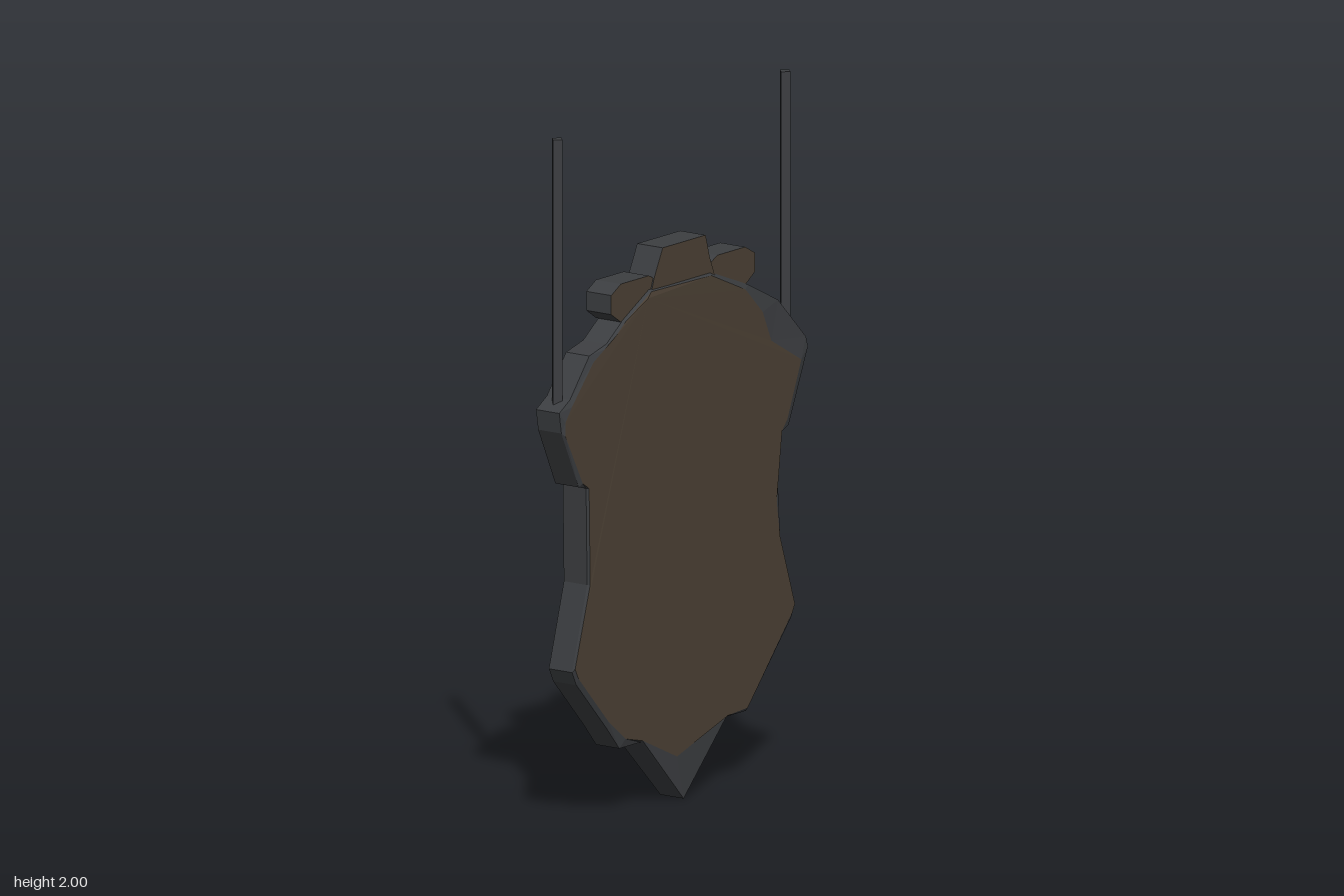
import * as THREE from 'three';

const wood = new THREE.MeshStandardMaterial({ color: 0x4b4034, flatShading: true });
const iron = new THREE.MeshStandardMaterial({ color: 0x3c3e41, flatShading: true });

// Shield outline, counter-clockwise from the bottom tip: [x, y, front panel x, front panel y]
const OUTLINE = [
  [0, 0, -0.04, 0.13], [0.2, 0.2, 0.2, 0.205], [0.29, 0.2, 0.29, 0.21],
  [0.5, 0.43, 0.5, 0.45], [0.515, 0.47, 0.51, 0.47], [0.45, 0.67, 0.44, 0.68],
  [0.44, 0.82, 0.425, 0.78], [0.455, 0.98, 0.45, 0.98], [0.49, 0.99, 0.475, 1.01],
  [0.58, 1.2, 0.54, 1.17], [0.57, 1.23, 0.4, 1.25], [0.44, 1.36, 0.36, 1.34],
  [0.3, 1.43, 0.28, 1.42], [0.12, 1.5, 0.12, 1.49], [-0.16, 1.5, -0.16, 1.495],
  [-0.29, 1.43, -0.28, 1.43], [-0.36, 1.38, -0.36, 1.37], [-0.44, 1.36, -0.43, 1.34],
  [-0.53, 1.25, -0.53, 1.23], [-0.58, 1.22, -0.56, 1.19], [-0.57, 1.16, -0.56, 1.15],
  [-0.49, 0.99, -0.48, 1.0], [-0.455, 0.98, -0.45, 0.98], [-0.45, 0.7, -0.445, 0.7],
  [-0.52, 0.46, -0.515, 0.47], [-0.5, 0.42, -0.5, 0.44], [-0.36, 0.27, -0.36, 0.29],
  [-0.3, 0.2, -0.28, 0.225], [-0.2, 0.2, -0.2, 0.205],
];

function meshFromTriangles(name, triangles, material) {
  const geometry = new THREE.BufferGeometry().setFromPoints(triangles);
  geometry.computeVertexNormals();
  const mesh = new THREE.Mesh(geometry, material);
  mesh.name = name;
  return mesh;
}

// Triangles from a centre point to every edge of a ring
function fan(center, ring) {
  return ring.flatMap((p, i) => [center, p, ring[(i + 1) % ring.length]]);
}

// Quads joining two rings, the first lying nearer the front
function band(front, back) {
  return front.flatMap((p, i) => {
    const j = (i + 1) % front.length;
    return [p, back[i], back[j], p, back[j], front[j]];
  });
}

// Thick cut-out with wooden faces and dark edges
function slab(name, points, back, front) {
  const shape = new THREE.Shape(points.map(([x, y]) => new THREE.Vector2(x, y)));
  const geometry = new THREE.ExtrudeGeometry(shape, { depth: front - back, bevelEnabled: false });
  geometry.translate(0, 0, back);
  const mesh = new THREE.Mesh(geometry, [wood, iron]);
  mesh.name = name;
  return mesh;
}

export function createModel() {
  const model = new THREE.Group();
  model.name = 'hangingSign';

  // Board: wooden front and back faces with a chipped, bevelled rim between
  const frontPanel = OUTLINE.map(([, , x, y]) => new THREE.Vector3(x, y, 0.047));
  const frontRim = OUTLINE.map(([x, y]) => new THREE.Vector3(x, y, 0.04));
  const backRim = OUTLINE.map(([x, y]) => new THREE.Vector3(x, y, -0.042));
  const backPanel = OUTLINE.map(([x, y]) =>
    new THREE.Vector3(x * 0.98, 0.75 + (y - 0.75) * 0.99, -0.047));
  model.add(
    meshFromTriangles('frontFace', fan(new THREE.Vector3(-0.18, 1.48, 0.051), frontPanel), wood),
    meshFromTriangles('backFace', fan(new THREE.Vector3(0.15, 0.92, -0.054), [...backPanel].reverse()), wood),
    meshFromTriangles('rim', [
      ...band(frontPanel, frontRim), ...band(frontRim, backRim), ...band(backRim, backPanel),
    ], iron),
  );

  // Crest: a raised block between two curled ends
  model.add(slab('crestBlock',
    [[-0.16, 1.47], [0.15, 1.47], [0.12, 1.54], [0.1, 1.61], [-0.1, 1.61], [-0.14, 1.53]], -0.048, 0.042));
  const curl = [[0.1, 1.46], [0.29, 1.43], [0.335, 1.46], [0.335, 1.515], [0.29, 1.54], [0.16, 1.54], [0.12, 1.52]];
  for (const side of [1, -1]) {
    model.add(slab(side > 0 ? 'leftCurl' : 'rightCurl',
      curl.map(([x, y]) => [x * side, y]), -0.05, 0.038));
  }

  // Square hanging rods, set corner-on
  for (const [name, x] of [['leftRod', 0.527], ['rightRod', -0.537]]) {
    const rod = new THREE.Mesh(new THREE.CylinderGeometry(0.019, 0.019, 0.8, 4), iron);
    rod.position.set(x, 1.6, 0);
    rod.name = name;
    model.add(rod);
  }
  return model;
}
